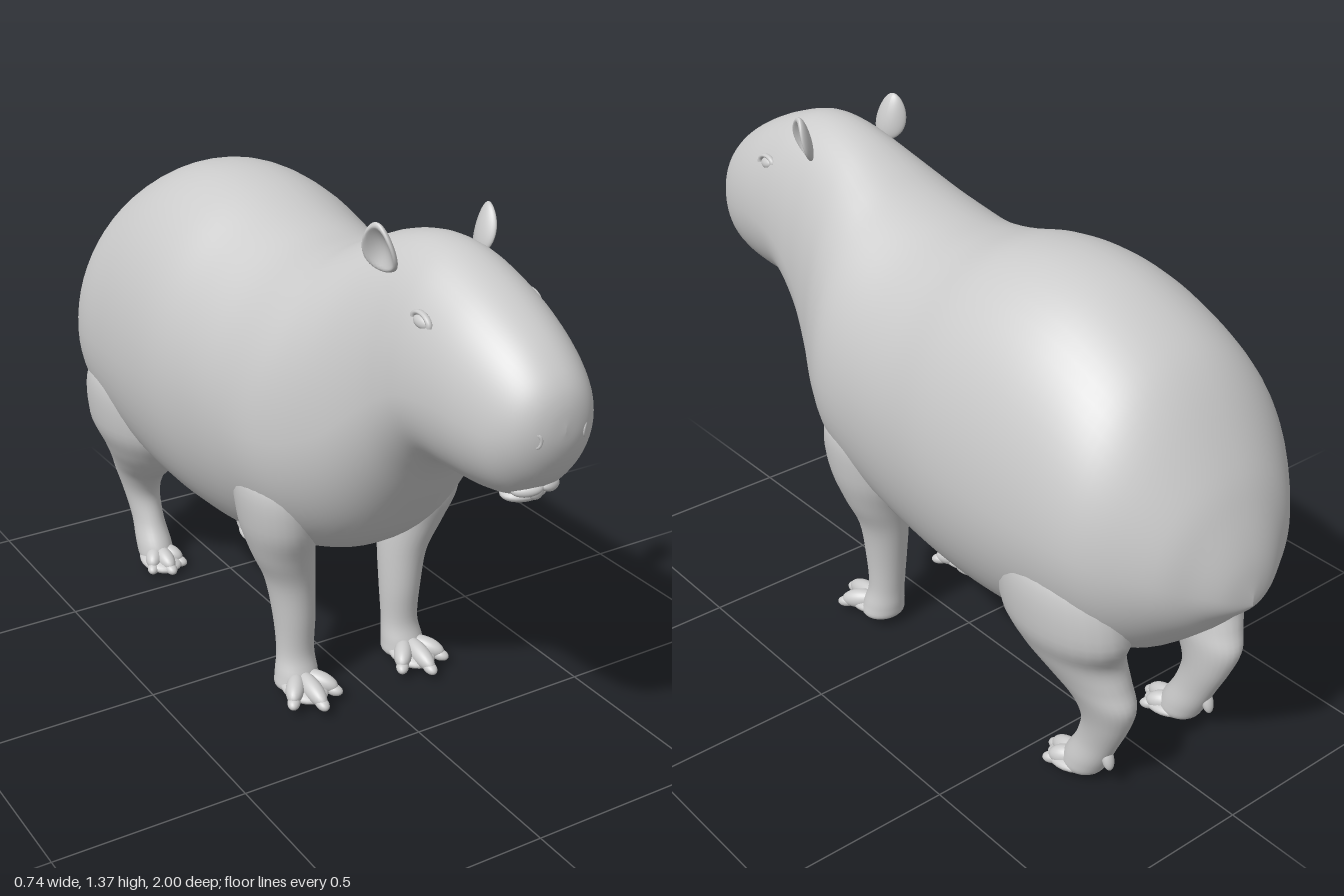
import * as THREE from 'three';

const skin = new THREE.MeshStandardMaterial({ color: 0xcccccc, roughness: 0.8 });

// Cubic interpolation through rows of numbers
function sample(rows, t) {
  const i = Math.min(Math.floor(t), rows.length - 2), f = t - i;
  const at = (k) => rows[Math.max(0, Math.min(rows.length - 1, k))];
  const [a, b, c, d] = [at(i - 1), at(i), at(i + 1), at(i + 2)];
  return b.map((p, k) => p + 0.5 * f * (c[k] - a[k] + f * (2 * a[k] - 5 * p + 4 * c[k] - d[k]
    + f * (3 * (p - c[k]) + d[k] - a[k]))));
}

// Skin closed rings; point(row, angle) returns one ring point
function loft(rows, sub, segs, point) {
  const pos = [], idx = [], n = (rows.length - 1) * sub;
  for (let i = 0; i <= n; i++) {
    const row = sample(rows, i / sub);
    for (let j = 0; j < segs; j++) pos.push(...point(row, (j / segs) * Math.PI * 2));
  }
  for (let i = 0; i < n; i++) for (let j = 0; j < segs; j++) {
    const k = (j + 1) % segs, a = i * segs + j, b = i * segs + k, c = a + segs, d = b + segs;
    idx.push(a, b, c, b, d, c);
  }
  const g = new THREE.BufferGeometry();
  g.setAttribute('position', new THREE.Float32BufferAttribute(pos, 3));
  g.setIndex(idx);
  g.computeVertexNormals();
  return g;
}

function add(parent, name, geometry, p = [0, 0, 0], r = [0, 0, 0], s = [1, 1, 1]) {
  const m = new THREE.Mesh(geometry, skin);
  m.name = name;
  m.position.set(...p);
  m.rotation.set(...r);
  m.scale.set(...s);
  parent.add(m);
  return m;
}
const ball = new THREE.SphereGeometry(1, 24, 16);

// Trunk and head, rump to nose: z, top, bottom, half width, height of widest point
const BODY = [
  [-1.0, 0.63, 0.61, 0, 0.62], [-0.985, 0.72, 0.59, 0.075, 0.645], [-0.95, 0.82, 0.555, 0.145, 0.67],
  [-0.9, 0.925, 0.5, 0.222, 0.7], [-0.8, 1.075, 0.415, 0.31, 0.73], [-0.7, 1.165, 0.375, 0.347, 0.75],
  [-0.55, 1.238, 0.34, 0.362, 0.76], [-0.4, 1.264, 0.32, 0.37, 0.77], [-0.25, 1.252, 0.314, 0.37, 0.78],
  [-0.1, 1.212, 0.32, 0.355, 0.78], [0.05, 1.192, 0.35, 0.345, 0.78], [0.2, 1.218, 0.405, 0.332, 0.78],
  [0.3, 1.258, 0.45, 0.292, 0.79], [0.4, 1.3, 0.53, 0.24, 0.84], [0.5, 1.325, 0.655, 0.203, 0.93],
  [0.58, 1.328, 0.765, 0.19, 0.99], [0.65, 1.316, 0.822, 0.184, 1.02], [0.75, 1.28, 0.824, 0.174, 1.03],
  [0.83, 1.242, 0.828, 0.161, 1.02], [0.9, 1.2, 0.845, 0.141, 1.01], [0.95, 1.158, 0.89, 0.113, 1.02],
  [0.98, 1.12, 0.94, 0.08, 1.03], [0.995, 1.08, 0.985, 0.042, 1.03], [1.0, 1.035, 1.025, 0, 1.03],
];
function bodyPoint([z, top, bottom, w, mid], a) {
  const c = Math.cos(a), s = Math.sin(a);
  const x = Math.max(0, w) * Math.sign(c) * Math.abs(c) ** 0.94;
  return [x, mid + s * (s > 0 ? top - mid : mid - bottom), z];
}

// Legs, top to bottom: y, centre z, radius z, centre x, radius x
const FRONT_LEG = [
  [0.72, 0.16, 0.03, 0.22, 0.03], [0.64, 0.16, 0.12, 0.225, 0.085], [0.52, 0.16, 0.125, 0.215, 0.09],
  [0.42, 0.155, 0.095, 0.195, 0.08], [0.33, 0.152, 0.073, 0.172, 0.064], [0.22, 0.157, 0.058, 0.163, 0.055],
  [0.12, 0.16, 0.048, 0.162, 0.05], [0.06, 0.17, 0.055, 0.165, 0.057], [0.025, 0.175, 0.05, 0.167, 0.055],
  [0.015, 0.175, 0, 0.167, 0],
];
const HIND_LEG = [
  [0.74, -0.62, 0.04, 0.23, 0.03], [0.64, -0.62, 0.17, 0.235, 0.105], [0.5, -0.63, 0.195, 0.225, 0.115],
  [0.41, -0.635, 0.155, 0.205, 0.1], [0.34, -0.675, 0.128, 0.19, 0.08], [0.28, -0.72, 0.1, 0.18, 0.063],
  [0.21, -0.728, 0.07, 0.172, 0.05], [0.13, -0.7, 0.06, 0.168, 0.044], [0.06, -0.665, 0.062, 0.168, 0.05],
  [0.02, -0.65, 0.05, 0.168, 0.045], [0.008, -0.65, 0, 0.168, 0],
];

function addLeg(parent, name, rows, s, toes) {
  const leg = new THREE.Group();
  leg.name = name;
  parent.add(leg);
  add(leg, 'limb', loft(rows, 5, 28, ([y, zc, rz, xc, rx], a) =>
    [s * xc + rx * Math.cos(a), y, zc + rz * Math.sin(a)]));
  // Webbed pad under splayed toes
  const { z, y, x, length, spread } = toes;
  add(leg, 'footPad', ball, [s * x, y + 0.022, z + 0.035], [0.12, 0, 0], [0.06, 0.022, 0.075]);
  for (const k of [-1, 0, 1]) {
    const yaw = k * spread, reach = length * (k ? 0.82 : 1);
    const dir = [Math.sin(yaw), Math.cos(yaw)];
    add(leg, 'toe', ball, [s * x + dir[0] * reach * 0.62, y + 0.035, z + dir[1] * reach * 0.62],
      [0.22, yaw, 0], [0.025, 0.027, reach * 0.55]);
    add(leg, 'claw', ball, [s * x + dir[0] * reach * 1.04, y + 0.018, z + dir[1] * reach * 1.04],
      [0.2, yaw, 0], [0.017, 0.015, 0.026]);
  }
  return leg;
}

// Cupped ear: a flat round disc hollowed on its outer face
function earGeometry(s) {
  const g = new THREE.SphereGeometry(1, 32, 24), p = g.attributes.position;
  for (let i = 0; i < p.count; i++) {
    const y = p.getY(i), z = p.getZ(i), r = Math.hypot(y, z);
    let x = p.getX(i) * 0.016;
    if (x > 0) x -= 0.024 * Math.max(0, 1 - r * r * 1.35);
    x += 0.014 * z * z;
    p.setXYZ(i, s * x, y * 0.062, z * 0.045 * (1 - 0.18 * y));
  }
  if (s < 0) { // restore outward faces after mirroring
    const a = g.index.array;
    for (let i = 0; i < a.length; i += 3) [a[i], a[i + 1]] = [a[i + 1], a[i]];
  }
  g.computeVertexNormals();
  return g;
}

export function createModel() {
  const model = new THREE.Group();
  model.name = 'capybara';
  add(model, 'body', loft(BODY, 5, 64, bodyPoint));
  add(model, 'tailStub', ball, [0, 0.625, -0.963], [0.4, 0, 0], [0.04, 0.035, 0.035]);

  for (const s of [1, -1]) {
    const side = s > 0 ? 'left' : 'right';
    addLeg(model, side + 'FrontLeg', FRONT_LEG, s, { z: 0.18, y: 0.012, x: 0.167, length: 0.12, spread: 0.62 });
    const hind = addLeg(model, side + 'HindLeg', HIND_LEG, s, { z: -0.655, y: 0, x: 0.168, length: 0.095, spread: 0.55 });
    add(hind, 'dewclaw', ball, [s * 0.172, 0.095, -0.742], [0.3, 0, 0], [0.016, 0.032, 0.014]);

    add(model, side + 'Ear', earGeometry(s), [s * 0.136, 1.307, 0.502], [-0.12, s * -0.3, s * -0.28]);

    // Eye under a heavy slanted lid
    add(model, side + 'Eye', ball, [s * 0.143, 1.192, 0.675], [0.15, s * -0.12, s * 0.5], [0.013, 0.016, 0.026]);
    const lid = new THREE.TorusGeometry(0.03, 0.008, 10, 24, Math.PI);
    add(model, side + 'Eyelid', lid, [s * 0.146, 1.192, 0.675], [0.15, Math.PI / 2, 0], [1, 0.65, 1]);

    // Nostril rim
    add(model, side + 'Nostril', new THREE.TorusGeometry(0.012, 0.005, 10, 20),
      [s * 0.063, 1.012, 0.982], [0.1, s * 0.65, 0], [0.85, 1.2, 1]);
    add(model, side + 'UpperLip', ball, [s * 0.03, 0.868, 0.918], [0.5, s * 0.4, s * -0.35], [0.036, 0.016, 0.02]);
  }

  // Mouth
  add(model, 'lowerLip', ball, [0, 0.836, 0.868], [0, 0, 0], [0.058, 0.019, 0.04]);
  add(model, 'incisors', ball, [0, 0.855, 0.913], [0, 0, 0], [0.02, 0.022, 0.012]);
  return model;
}
